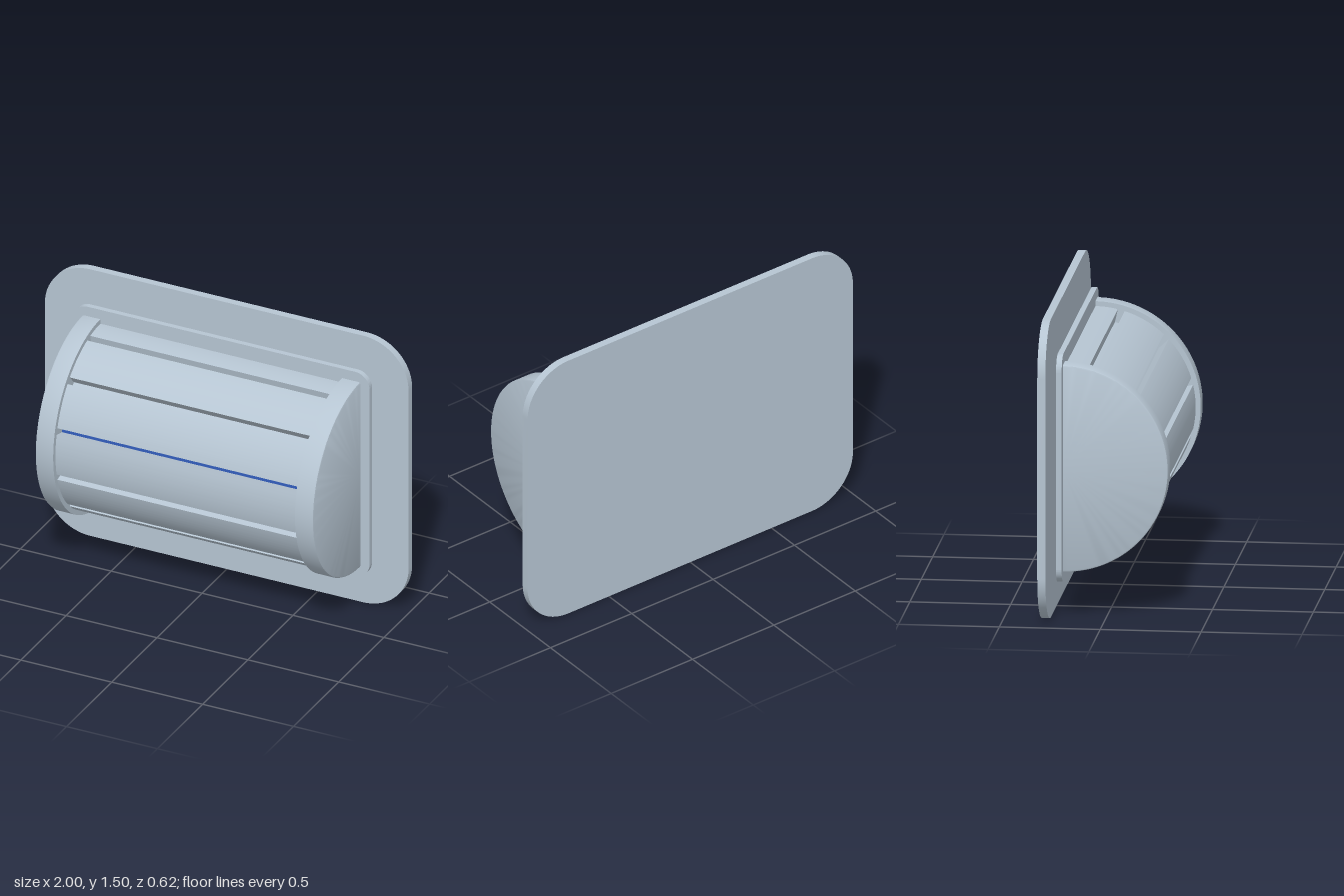
import * as THREE from 'three';
import { toCreasedNormals } from 'three/addons/utils/BufferGeometryUtils.js';

const CY = 0.7525, CZ = -0.212; // axis of the half drum
const CAP_R = 0.522, SLAT_R = 0.497, CORE_R = 0.43;
const INNER_X = 0.665, OUTER_X = 0.765;

export function createModel() {
  const group = new THREE.Group();
  const steel = new THREE.MeshStandardMaterial({ name: 'paleSteel', color: 0xb6c5d2 });
  const blue = new THREE.MeshStandardMaterial({ name: 'deepBlue', color: 0x2f57b0 });

  const add = (name, geometry, material) => {
    const mesh = new THREE.Mesh(toCreasedNormals(geometry, 0.5), material);
    mesh.name = name;
    group.add(mesh);
    return mesh;
  };

  // Plate with rounded corners, standing upright
  const plate = (name, w, h, r, z0, z1) => {
    const s = new THREE.Shape();
    const x = w / 2 - r, y = h / 2 - r;
    s.absarc(x, y, r, 0, Math.PI / 2);
    s.absarc(-x, y, r, Math.PI / 2, Math.PI);
    s.absarc(-x, -y, r, Math.PI, Math.PI * 1.5);
    s.absarc(x, -y, r, Math.PI * 1.5, Math.PI * 2);
    s.closePath();
    const g = new THREE.ExtrudeGeometry(s, { depth: z1 - z0, bevelEnabled: false, curveSegments: 16 });
    g.translate(0, CY, z0);
    add(name, g, steel);
  };

  // Curved bar along x; angles in degrees from the top, turning to the front
  const sector = (name, r0, r1, from, to, material) => {
    const a = Math.PI / 2 - THREE.MathUtils.degToRad(to);
    const b = Math.PI / 2 - THREE.MathUtils.degToRad(from);
    const s = new THREE.Shape();
    s.absarc(0, 0, r1, a, b, false);
    s.absarc(0, 0, r0, b, a, true);
    s.closePath();
    const g = new THREE.ExtrudeGeometry(s, { depth: INNER_X * 2, bevelEnabled: false, curveSegments: 14 });
    g.translate(0, 0, -INNER_X);
    g.rotateY(-Math.PI / 2);
    g.translate(0, CY, CZ);
    add(name, g, material);
  };

  plate('backPlate', 2, 1.505, 0.25, -0.312, -0.272);
  plate('innerPlate', 1.63, 1.15, 0.08, -0.24, -0.212);

  // Half-round end caps with a softened outer rim
  for (const side of [1, -1]) {
    const profile = [
      [0, INNER_X], [CAP_R, INNER_X], [CAP_R, OUTER_X - 0.01],
      [CAP_R - 0.003, OUTER_X - 0.003], [CAP_R - 0.01, OUTER_X], [0, OUTER_X],
    ].map(([r, y]) => new THREE.Vector2(r, y));
    const g = new THREE.LatheGeometry(profile, 64, -Math.PI / 2, Math.PI);
    g.rotateZ(-side * Math.PI / 2);
    g.translate(0, CY, CZ);
    add(side > 0 ? 'leftEndCap' : 'rightEndCap', g, steel);
  }

  // Slats separated by narrow slots every 30 degrees
  const slots = [15, 45, 75, 105, 135, 165];
  const edges = [-2, ...slots, 182];
  for (let i = 0; i < edges.length - 1; i++) {
    sector('slat' + (i + 1), CORE_R - 0.01, SLAT_R, edges[i] + 2, edges[i + 1] - 2, steel);
  }

  // Inner drum behind the slots, with blue strips in the two front slots
  sector('core', CORE_R - 0.03, CORE_R, 0, 180, steel);
  for (const a of [75, 105]) sector('blueStrip', CORE_R - 0.002, CORE_R + 0.006, a - 2, a + 2, blue);

  return group;
}
